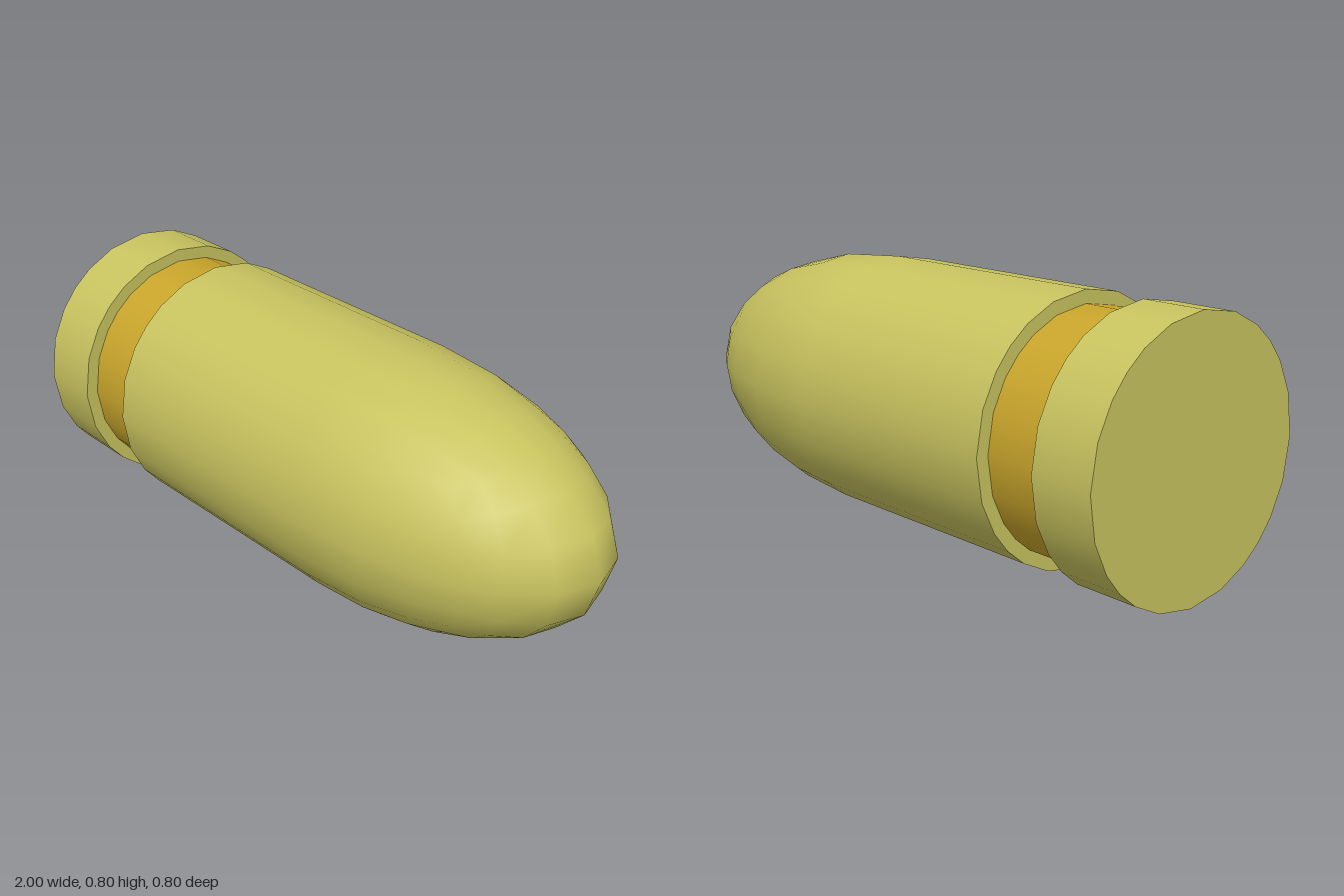
import * as THREE from 'three';

const RADIUS = 0.4, BAND_RADIUS = 0.36, SIDES = 24;

// Spaces the sides like the grid of a cube projected onto a circle
function gridAngle(a) {
  const quarter = Math.round(a / (Math.PI / 2)) * (Math.PI / 2);
  return quarter + Math.atan((a - quarter) / (Math.PI / 4));
}

// Capped cylinder lying along x from x0 to x1
function barrel(radius, x0, x1) {
  const geo = new THREE.CylinderGeometry(radius, radius, x1 - x0, SIDES);
  geo.rotateZ(-Math.PI / 2);
  const pos = geo.attributes.position, nor = geo.attributes.normal;
  for (let i = 0; i < pos.count; i++) {
    const y = pos.getY(i), z = pos.getZ(i);
    const r = Math.hypot(y, z);
    const a = gridAngle(Math.atan2(z, y));
    pos.setXYZ(i, pos.getX(i), r * Math.cos(a), r * Math.sin(a));
    if (Math.abs(nor.getX(i)) < 0.5) nor.setXYZ(i, 0, Math.cos(a), Math.sin(a));
  }
  return geo.translate((x0 + x1) / 2, RADIUS, 0);
}

// Half of a sphere made from a cube grid, stretched along x
function roundedNose(x0, length) {
  const geo = new THREE.BoxGeometry(1, 2, 2, 3, 6, 6).translate(0.5, 0, 0);
  const pos = geo.attributes.position, nor = geo.attributes.normal;
  const p = new THREE.Vector3();
  for (let i = 0; i < pos.count; i++) {
    p.fromBufferAttribute(pos, i).normalize();
    pos.setXYZ(i, p.x, p.y, p.z);
    nor.setXYZ(i, p.x, p.y, p.z);
  }
  // Leave out the rear face, which the body closes
  const rear = geo.groups[1];
  const index = Array.from(geo.index.array);
  index.splice(rear.start, rear.count);
  geo.setIndex(index);
  geo.clearGroups();
  return geo.scale(length, RADIUS, RADIUS).translate(x0, RADIUS, 0);
}

export function createModel() {
  const model = new THREE.Group();
  const brass = new THREE.MeshStandardMaterial({ color: 0xc8c35f });
  const gold = new THREE.MeshStandardMaterial({ color: 0xc9a52b });
  const add = (name, geo, material) => {
    const mesh = new THREE.Mesh(geo, material);
    mesh.name = name;
    model.add(mesh);
  };

  add('baseRim', barrel(RADIUS, -1, -0.8), brass);
  add('grooveBand', barrel(BAND_RADIUS, -0.8, -0.6), gold);
  add('body', barrel(RADIUS, -0.6, 0.2), brass);
  add('nose', roundedNose(0.2, 0.8), brass);
  return model;
}
